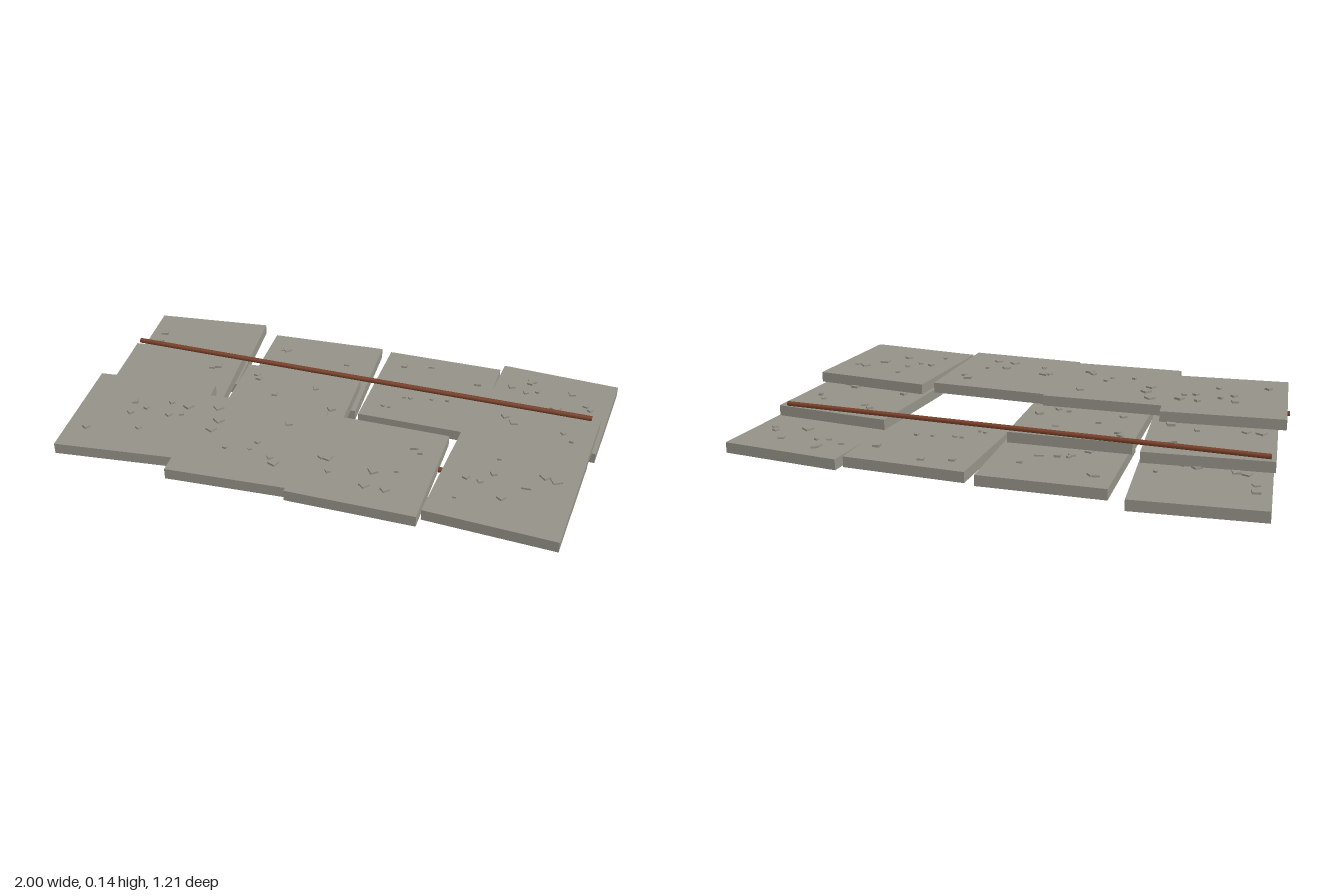
import * as THREE from 'three';

export function createModel() {
  const model = new THREE.Group();
  model.name = 'slabRubble';
  const concrete = new THREE.MeshStandardMaterial({ color: 0x949287 });
  concrete.name = 'concreteGrey';
  const rust = new THREE.MeshStandardMaterial({ color: 0x7a4028 });
  rust.name = 'rustBrown';

  // Small seeded generator for the loose chips
  let seed = 17;
  const rand = () => (seed = (seed * 16807) % 2147483647) / 2147483647;

  const W = 0.468, H = 0.041, D = 0.486;
  const slabGeometry = new THREE.BoxGeometry(W, H, D);
  const chipGeometry = new THREE.BoxGeometry(1, 1, 1);

  function addChip(x, y, z, size, turn) {
    const chip = new THREE.Mesh(chipGeometry, concrete);
    chip.name = 'chip';
    chip.scale.set(size, 0.012, size);
    chip.position.set(x, y, z);
    chip.rotation.y = turn;
    return chip;
  }

  // Overlapping rows: base height, then slabs as [x, z, turn]
  const rows = [
    { name: 'backRow', y: 0, slabs: [[-0.739, -0.337, 0.117], [-0.212, -0.31, 0.056], [0.285, -0.31, 0], [0.75, -0.334, -0.06]] },
    { name: 'middleRow', y: 0.047, slabs: [[-0.707, -0.011, 0.117], [-0.21, 0.02, 0.056], [0.716, -0.005, -0.058]] },
    { name: 'frontRow', y: 0.094, slabs: [[-0.699, 0.3135, 0.117], [-0.24, 0.344, 0.06], [0.216, 0.347, 0], [0.705, 0.32, -0.058]] },
  ];
  for (const { name, y, slabs } of rows) {
    const row = new THREE.Group();
    row.name = name;
    for (const [x, z, turn] of slabs) {
      const group = new THREE.Group();
      group.name = 'slabWithChips';
      group.position.set(x, y + H / 2, z);
      group.rotation.y = turn;
      const slab = new THREE.Mesh(slabGeometry, concrete);
      slab.name = 'slab';
      group.add(slab);
      for (let i = 0; i < 9; i++) {
        const cx = (rand() - 0.5) * 0.36, cz = (rand() - 0.5) * 0.36;
        group.add(addChip(cx, H / 2 + rand() * 0.003, cz, 0.012 + rand() * 0.022, rand() * 3));
      }
      row.add(group);
    }
    model.add(row);
  }

  // Long reinforcing bars, one exposed and one caught in the front row
  for (const z of [-0.225, 0.265]) {
    const bar = new THREE.Mesh(new THREE.CylinderGeometry(0.01, 0.01, 1.88, 8), rust);
    bar.name = 'reinforcingBar';
    bar.position.set(-0.01, 0.101, z);
    bar.rotation.z = Math.PI / 2 - 0.005;
    model.add(bar);
  }
  return model;
}
